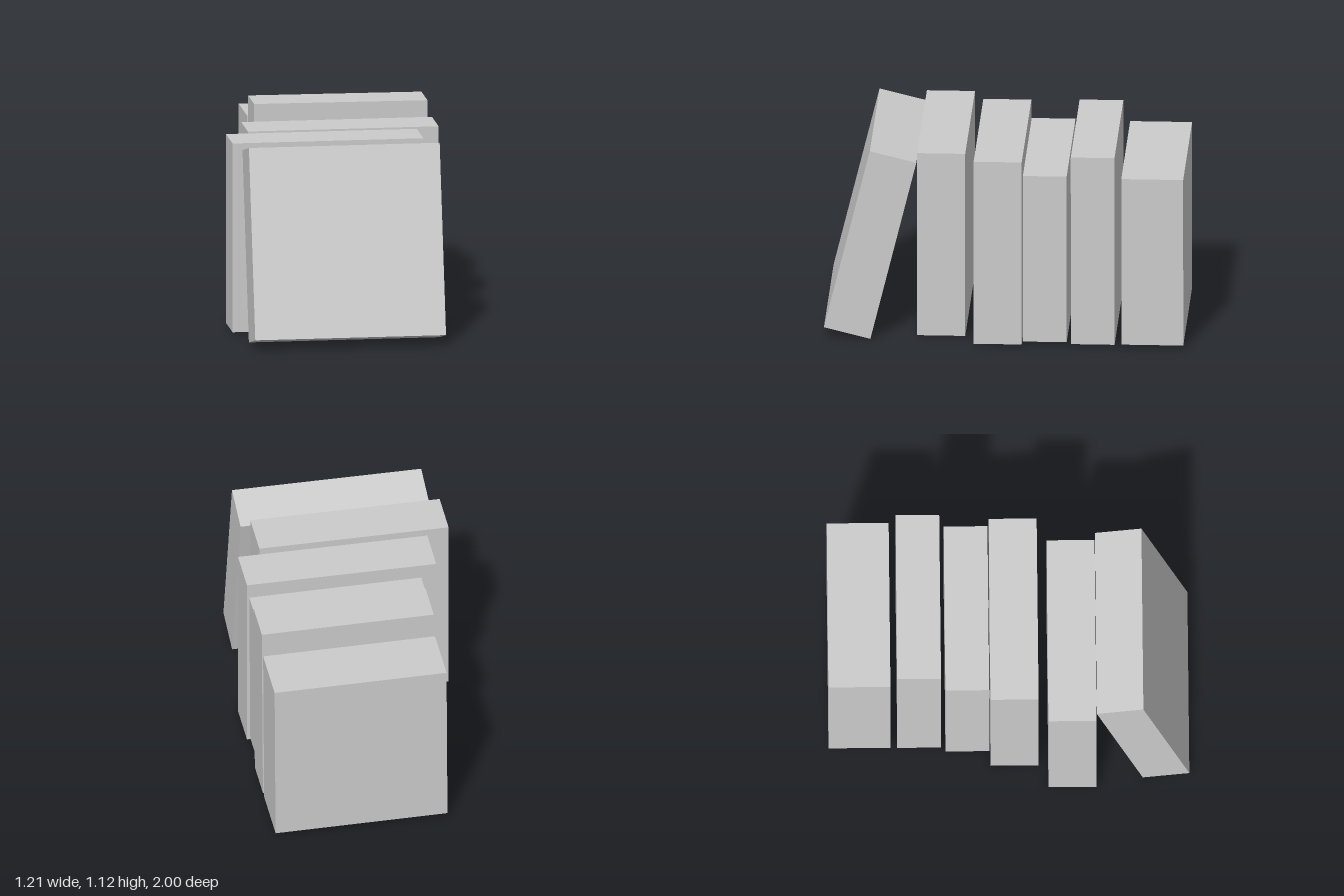
import * as THREE from 'three';

// One closed block per book: size [w, h, d], centre [x, y, z], lean about x, tilt about z
const TILT = -0.0055;
const BOOKS = [
  { name: 'leaningBook', size: [1.068, 1.068, 0.266], at: [-0.019, 0.553, 0.743], lean: -0.241 },
  { name: 'frontBook', size: [1.068, 1.068, 0.267], at: [-0.074, 0.544, 0.351] },
  { name: 'middleBook', size: [1.068, 1.068, 0.267], at: [0.056, 0.544, 0.031] },
  { name: 'shortBook', size: [0.97, 0.973, 0.243], at: [0.09, 0.511, -0.23], tilt: TILT },
  { name: 'tallBook', size: [0.97, 1.097, 0.243], at: [0.115, 0.571, -0.497], tilt: TILT },
  { name: 'thickBook', size: [0.97, 0.973, 0.344], at: [0.115, 0.511, -0.828], tilt: TILT },
];

export function createModel() {
  const group = new THREE.Group();
  group.name = 'bookRow';
  const material = new THREE.MeshStandardMaterial({ color: 0xcccccc });
  for (const { name, size, at, lean = 0, tilt = 0 } of BOOKS) {
    const book = new THREE.Mesh(new THREE.BoxGeometry(...size), material);
    book.name = name;
    book.position.set(...at);
    book.rotation.set(lean, 0, tilt);
    group.add(book);
  }
  return group;
}
